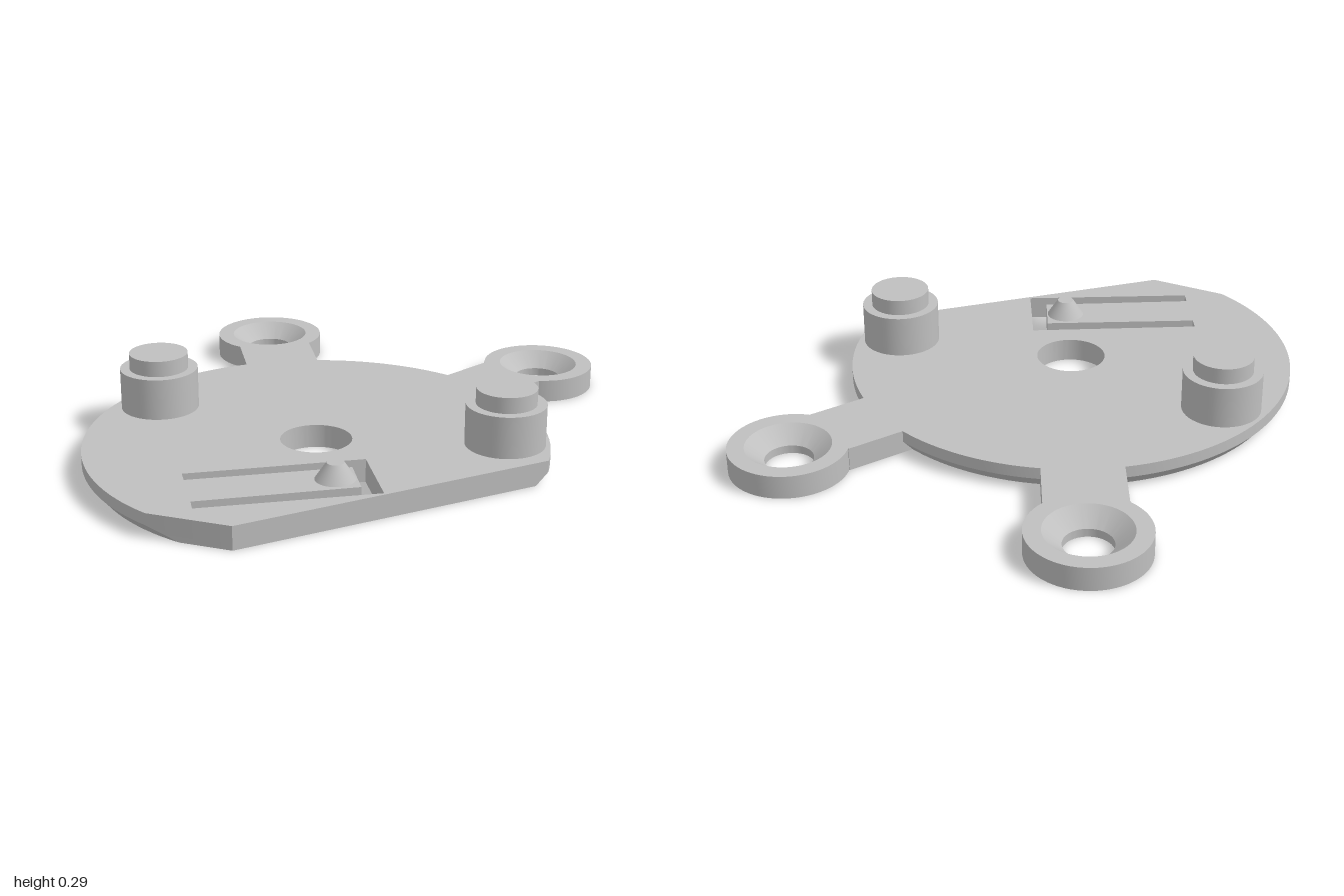
import * as THREE from 'three';
import { toCreasedNormals } from 'three/addons/utils/BufferGeometryUtils.js';

const T = 0.085;            // plate thickness
const R = 0.82;             // disc radius
const CZ = 0.24;            // disc centre in z
const grey = new THREE.MeshStandardMaterial({ color: 0xbfbfbf });
grey.name = 'grey plastic';

function mesh(name, geometry, x = 0, y = 0, z = 0) {
  const m = new THREE.Mesh(geometry, grey);
  m.name = name;
  m.position.set(x, y, z);
  return m;
}

// [x, z] pairs to shape points, where shape y is -z
const toPoints = (list) => list.map(([x, z]) => new THREE.Vector2(x, -z));

// Disc outline of radius r, cut by the lines x + z = 0.99 and z = 1
function outline(r) {
  const a0 = Math.acos(0.75 / (Math.SQRT2 * r)) - Math.PI / 4;
  const a1 = Math.PI + Math.asin((1 - CZ) / r);
  const pts = [];
  const n = 90;
  for (let i = 0; i <= n; i++) {
    const a = a0 + ((a1 - a0) * i) / n;
    pts.push([r * Math.cos(a), CZ - r * Math.sin(a)]);
  }
  pts.push([-0.01, 1]);
  return toPoints(pts);
}

function extrude(shape, steps = 1) {
  return new THREE.ExtrudeGeometry(shape, { depth: T, steps, bevelEnabled: false, curveSegments: 48 });
}

// Disc with a centre hole and U-shaped slot; lower half of the rim tapers in
function plateGeometry() {
  const upper = outline(R);
  const lower = outline(R - 0.036);
  const shape = new THREE.Shape(upper);
  const hole = new THREE.Path();
  hole.absarc(0, -CZ, 0.127, 0, Math.PI * 2, true);
  const slot = new THREE.Path(toPoints([
    [-0.323, 0.677], [0.222, 0.36], [0.365, 0.61], [-0.18, 0.92],
    [-0.206, 0.873], [0.28, 0.587], [0.2, 0.44], [-0.296, 0.722],
  ]));
  shape.holes.push(hole, slot);
  const geo = extrude(shape, 2);
  const p = geo.attributes.position;
  for (let i = 0; i < p.count; i++) {
    if (p.getZ(i) > 0.001) continue;
    const k = upper.findIndex((u) => Math.hypot(u.x - p.getX(i), u.y - p.getY(i)) < 1e-4);
    if (k >= 0) p.setXY(i, lower[k].x, lower[k].y);
  }
  geo.rotateX(-Math.PI / 2);
  return toCreasedNormals(geo, 0.5);
}

// Ring with a countersunk screw hole
function earGeometry() {
  const profile = [[0.085, 0], [0.21, 0], [0.21, T], [0.15, T], [0.085, 0.03], [0.085, 0]];
  const geo = new THREE.LatheGeometry(profile.map(([r, y]) => new THREE.Vector2(r, y)), 64);
  return toCreasedNormals(geo, 0.5);
}

function armGeometry(side) {
  const pts = [[0.45, -0.275], [0.62, -0.585], [0.37, -0.72], [0.2, -0.41]];
  const geo = extrude(new THREE.Shape(toPoints(pts.map(([x, z]) => [x * side, z]))));
  geo.rotateX(-Math.PI / 2);
  return geo;
}

function cylinder(name, rTop, rBottom, y0, y1, x, z) {
  return mesh(name, new THREE.CylinderGeometry(rTop, rBottom, y1 - y0, 48), x, (y0 + y1) / 2, z);
}

export function createModel() {
  const model = new THREE.Group();
  model.name = 'mountingPlate';
  model.add(mesh('plate', plateGeometry()));

  // Mounting arms and ears
  for (const [side, label] of [[1, 'left'], [-1, 'right']]) {
    model.add(mesh(label + 'Arm', armGeometry(side)));
    model.add(mesh(label + 'Ear', earGeometry(), 0.57 * side, 0, -0.79));
  }

  // Stepped pegs
  for (const [label, x, z] of [['left', 0.64, 0.07], ['right', -0.652, 0.125]]) {
    const peg = new THREE.Group();
    peg.name = label + 'Peg';
    peg.add(cylinder('pegBase', 0.142, 0.142, T, 0.237, x, z));
    peg.add(cylinder('pegTip', 0.107, 0.107, 0.237, 0.295, x, z));
    model.add(peg);
  }

  // Detent bump on the spring tongue
  model.add(cylinder('detent', 0.03, 0.07, T, 0.145, 0.177, 0.55));
  return model;
}
